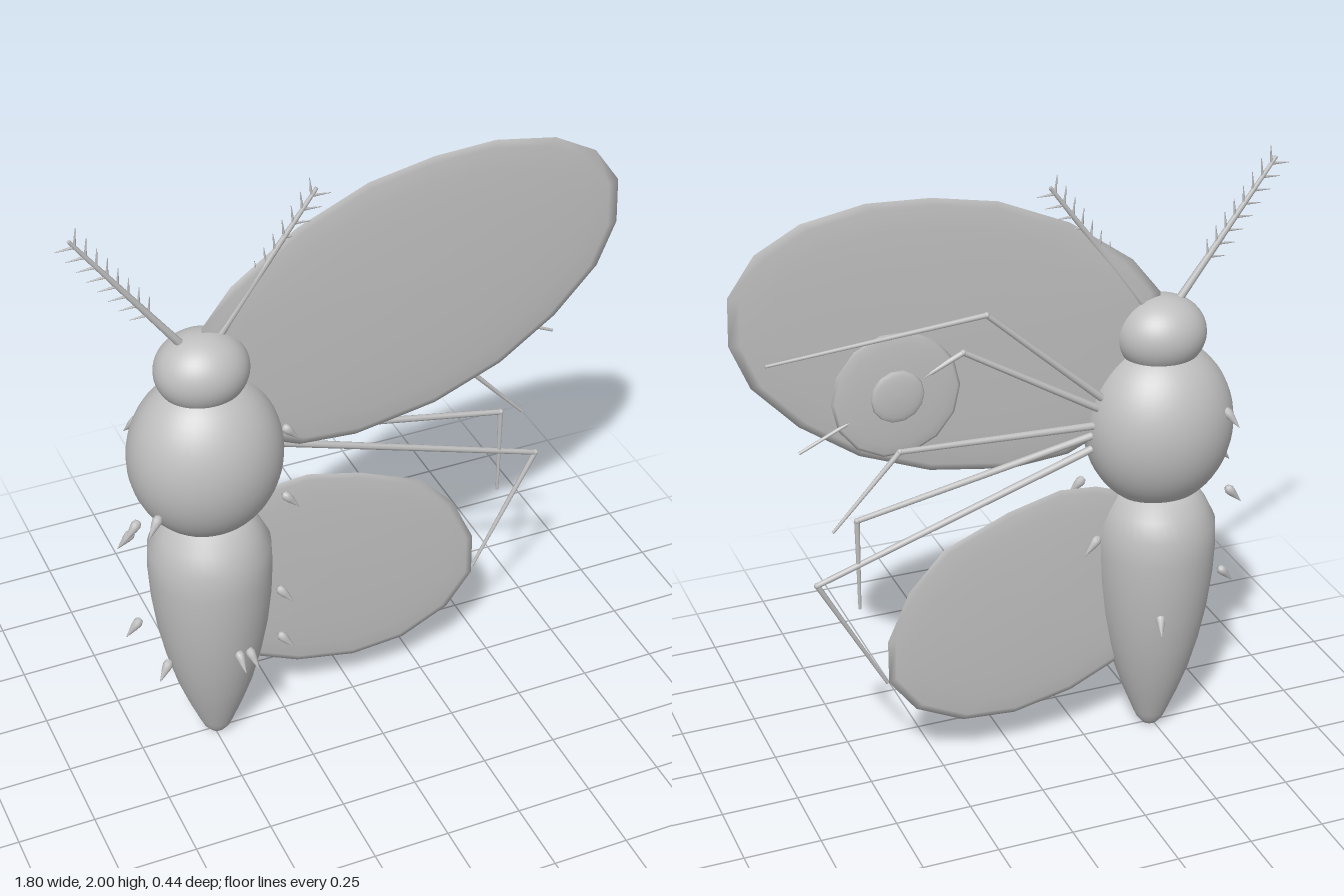
import * as THREE from 'three';

const V = (x, y, z = 0) => new THREE.Vector3(x, y, z);

export function createModel() {
  const model = new THREE.Group();
  const grey = new THREE.MeshStandardMaterial({ color: 0xbfbfbf });
  grey.name = 'plain grey';
  const CX = -0.49; // body axis

  const add = (name, geometry, parent = model) => {
    const mesh = new THREE.Mesh(geometry, grey);
    mesh.name = name;
    parent.add(mesh);
    return mesh;
  };
  const group = (name) => {
    const g = new THREE.Group();
    g.name = name;
    model.add(g);
    return g;
  };
  // Tapered rod from a to b
  const rod = (name, a, b, r0, r1, parent, sides = 8) => {
    const d = b.clone().sub(a);
    const mesh = add(name, new THREE.CylinderGeometry(r1, r0, d.length(), sides), parent);
    mesh.position.copy(a).addScaledVector(d, 0.5);
    mesh.quaternion.setFromUnitVectors(V(0, 1, 0), d.normalize());
    return mesh;
  };
  const ellipsoid = (name, x, y, z, rx, ry, rz, parent = model) => {
    const mesh = add(name, new THREE.SphereGeometry(1, 40, 28), parent);
    mesh.position.set(x, y, z);
    mesh.scale.set(rx, ry, rz);
    return mesh;
  };
  // Lens-shaped plate: rings shrink from the outline to its centre on both faces
  const lens = (outline, half) => {
    const n = outline.length;
    const c = outline.reduce((s, p) => [s[0] + p[0] / n, s[1] + p[1] / n], [0, 0]);
    const pos = [], idx = [], steps = 10;
    for (let k = 0; k <= steps; k++) {
      const a = Math.PI * (k / steps);
      const t = Math.max(Math.sin(a), 0.001);
      for (const p of outline) {
        pos.push(c[0] + (p[0] - c[0]) * t, c[1] + (p[1] - c[1]) * t, half * Math.cos(a));
      }
    }
    for (let k = 0; k < steps; k++) {
      for (let i = 0; i < n; i++) {
        const j = (i + 1) % n, a = k * n + i, b = k * n + j;
        idx.push(a, b + n, b, a, a + n, b + n);
      }
    }
    const g = new THREE.BufferGeometry();
    g.setAttribute('position', new THREE.Float32BufferAttribute(pos, 3));
    g.setIndex(idx);
    g.computeVertexNormals();
    return g;
  };

  // Head and thorax
  ellipsoid('head', CX, 1.442, 0, 0.147, 0.124, 0.132);
  ellipsoid('thorax', CX, 1.135, 0, 0.244, 0.28, 0.218);

  // Abdomen, tapering to a rounded tail
  const profile = [[0.001, 0.008], [0.028, 0.013], [0.045, 0.035], [0.056, 0.06], [0.09, 0.145],
    [0.125, 0.245], [0.155, 0.36], [0.178, 0.48], [0.192, 0.6], [0.197, 0.7], [0.194, 0.79],
    [0.165, 0.85], [0.125, 0.91], [0.001, 0.95]].map(([r, y]) => new THREE.Vector2(r, y));
  add('abdomen', new THREE.LatheGeometry(profile, 40)).position.x = CX;

  // Wings, counter-clockwise outlines
  const foreOutline = [[0.89, 1.62], [0.885, 1.77], [0.80, 1.89], [0.66, 1.965], [0.46, 2.0],
    [0.26, 1.99], [0.05, 1.95], [-0.18, 1.85], [-0.39, 1.70], [-0.485, 1.58], [-0.49, 1.42],
    [-0.45, 1.27], [-0.33, 1.14], [-0.18, 1.075], [0.01, 1.06], [0.28, 1.105], [0.505, 1.195],
    [0.69, 1.325], [0.83, 1.475]];
  add('foreWing', lens(foreOutline, 0.02));
  const hindOutline = [[0.43, 0.52], [0.355, 0.685], [0.235, 0.815], [0.02, 0.905], [-0.155, 0.95],
    [-0.28, 0.94], [-0.39, 0.90], [-0.46, 0.80], [-0.49, 0.66], [-0.48, 0.50], [-0.43, 0.35],
    [-0.36, 0.275], [-0.2, 0.2], [0.0, 0.158], [0.18, 0.172], [0.34, 0.25], [0.43, 0.37]];
  add('hindWing', lens(hindOutline, 0.018));

  // Ringed spot on the back of the fore wing
  const circle = (r, n) => Array.from({ length: n }, (_, i) => {
    const a = (i / n) * Math.PI * 2;
    return [r * Math.cos(a), r * Math.sin(a)];
  });
  add('wingSpot', lens(circle(0.205, 14), 0.014)).position.set(0.39, 1.39, -0.024);
  add('wingSpotCentre', lens(circle(0.085, 14), 0.012)).position.set(0.39, 1.39, -0.038);

  // Legs: root, knee and foot
  const legs = [
    [V(-0.32, 1.11, -0.02), V(0.66, 0.785, -0.02), V(0.44, 0.38, -0.015)],
    [V(-0.32, 1.15, -0.025), V(0.525, 0.985, -0.02), V(0.525, 0.675, -0.02)],
    [V(-0.32, 1.17, -0.03), V(0.385, 1.2, -0.03), V(0.605, 0.962, -0.025)],
    [V(-0.32, 1.2, -0.03), V(0.176, 1.495, -0.03), V(0.70, 1.25, -0.025)],
    [V(-0.32, 1.23, -0.03), V(0.10, 1.605, -0.03), V(0.79, 1.55, -0.025)],
  ];
  legs.forEach(([root, knee, foot], i) => {
    const leg = group('leg' + (i + 1));
    rod('upperLeg', root, knee, 0.013, 0.009, leg);
    rod('lowerLeg', knee, foot, 0.009, 0.005, leg);
    const joint = add('knee', new THREE.SphereGeometry(0.01, 10, 8), leg);
    joint.position.copy(knee);
  });

  // Feathered antennae
  for (const s of [-1, 1]) {
    const antenna = group(s < 0 ? 'rightAntenna' : 'leftAntenna');
    const a = V(CX + s * 0.05, 1.53), b = V(CX + s * 0.375, 1.97);
    rod('antennaStem', a, b, 0.013, 0.006, antenna);
    for (let i = 0; i < 8; i++) {
      const p = a.clone().lerp(b, 0.32 + i * 0.09);
      rod('outerBarb', p, p.clone().add(V(s * 0.06, -0.004)), 0.005, 0.001, antenna, 6);
      rod('upperBarb', p, p.clone().add(V(-s * 0.006, 0.06)), 0.005, 0.001, antenna, 6);
    }
  }

  // Small drop-shaped bristles around the body
  const drop = [[0.001, -0.018], [0.011, -0.014], [0.016, -0.002], [0.013, 0.016], [0.001, 0.06]]
    .map(([r, y]) => new THREE.Vector2(r, y));
  const bristles = [[-0.23, 1.16, 0.02], [-0.25, 0.935, 0.06], [-0.29, 0.6, 0.1], [-0.29, 0.41, 0.1],
    [-0.465, 0.45, 0.175], [-0.425, 0.44, 0.165], [-0.74, 0.965, 0.05], [-0.735, 0.86, -0.04],
    [-0.69, 1.01, 0.11], [-0.74, 0.54, 0], [-0.68, 0.425, 0.1], [-0.27, 0.76, -0.03],
    [-0.44, 0.51, -0.17], [-0.66, 1.2, -0.15]];
  const bristleSet = group('bristles');
  for (const [x, y, z] of bristles) {
    const mesh = add('bristle', new THREE.LatheGeometry(drop, 10), bristleSet);
    mesh.position.set(x, y, z);
    const out = V(x - CX, 0, z).normalize();
    out.y = -1.15;
    mesh.quaternion.setFromUnitVectors(V(0, 1, 0), out.normalize());
  }
  return model;
}
